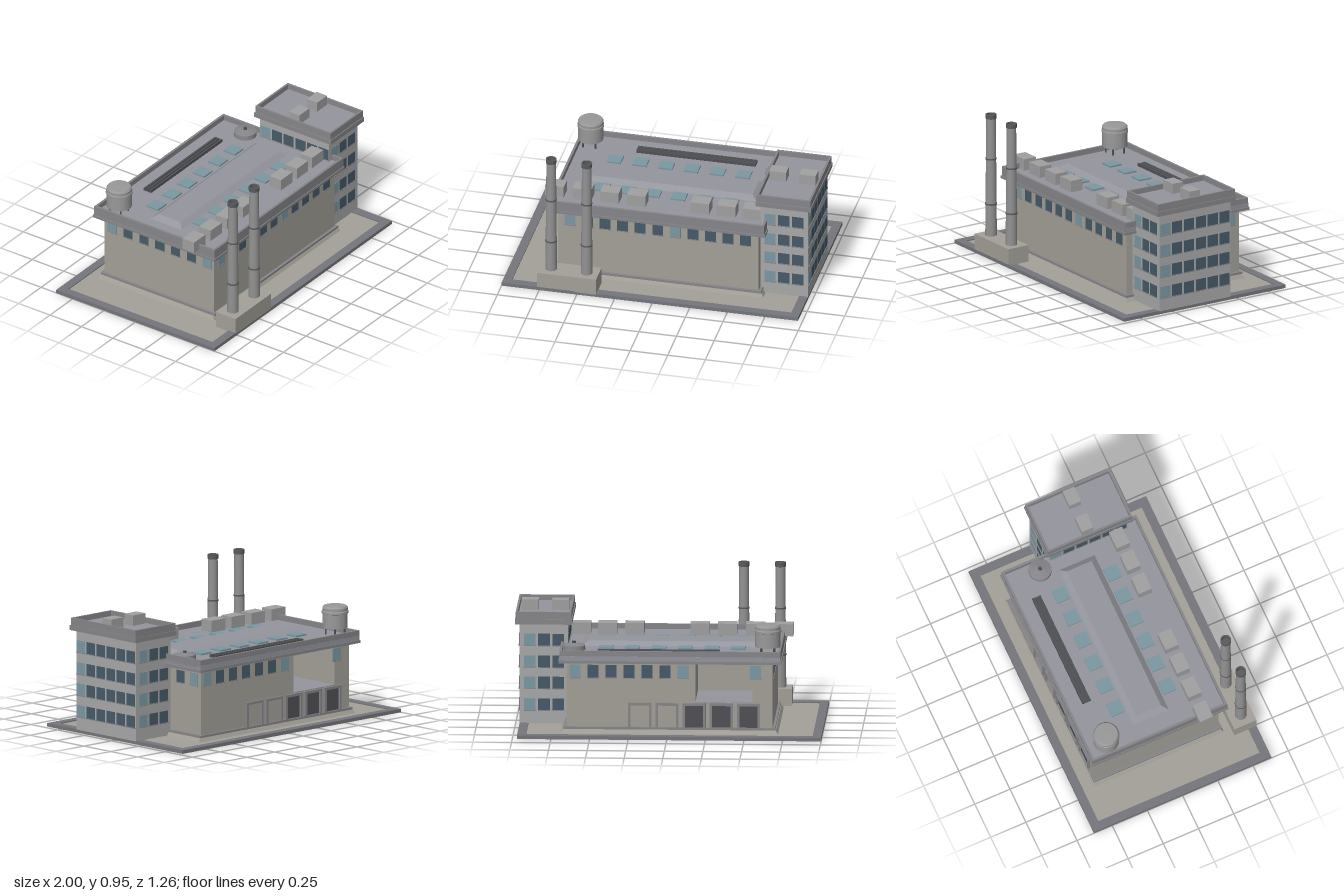
import * as THREE from 'three';

const mat = (color, extra = {}) => new THREE.MeshStandardMaterial({ color, ...extra });
const M = {
  wall: mat(0xa3a098), tower: mat(0xa8a8a8), roof: mat(0x94959d), trim: mat(0x86868a),
  curb: mat(0x75767c), dark: mat(0x505155), unit: mat(0xa0a0a0),
  glass: mat(0x465a68), glassLight: mat(0x7c98a3),
  stack: mat(0x929292, { side: THREE.DoubleSide }), cap: mat(0x5a5b5e, { side: THREE.DoubleSide }),
};

export function createModel() {
  const model = new THREE.Group();
  model.name = 'factory';

  const add = (name, geo, material, parent = model) => {
    const mesh = new THREE.Mesh(geo, material);
    mesh.name = name;
    parent.add(mesh);
    return mesh;
  };
  const group = (name, parent = model) => {
    const g = new THREE.Group();
    g.name = name;
    parent.add(g);
    return g;
  };
  // Box given by its limits; inset pulls the top edges inwards
  const block = (name, [x0, x1], [y0, y1], [z0, z1], material, parent, inset = 0) => {
    const geo = new THREE.BoxGeometry(x1 - x0, y1 - y0, z1 - z0);
    if (inset) {
      const p = geo.attributes.position;
      for (let i = 0; i < p.count; i++) {
        if (p.getY(i) < 0) continue;
        p.setX(i, p.getX(i) - Math.sign(p.getX(i)) * inset);
        p.setZ(i, p.getZ(i) - Math.sign(p.getZ(i)) * inset);
      }
      geo.computeVertexNormals();
    }
    geo.translate((x0 + x1) / 2, (y0 + y1) / 2, (z0 + z1) / 2);
    return add(name, geo, material, parent);
  };
  // Rectangular frame lying flat, t wide
  const ring = (name, [x0, x1], [y0, y1], [z0, z1], t, material, parent) => {
    const rect = (C, d) => new C([
      new THREE.Vector2(x0 + d, -z1 + d), new THREE.Vector2(x1 - d, -z1 + d),
      new THREE.Vector2(x1 - d, -z0 - d), new THREE.Vector2(x0 + d, -z0 - d)]);
    const shape = rect(THREE.Shape, 0);
    shape.holes.push(rect(THREE.Path, t));
    const geo = new THREE.ExtrudeGeometry(shape, { depth: y1 - y0, bevelEnabled: false });
    geo.rotateX(-Math.PI / 2).translate(0, y0, 0);
    return add(name, geo, material, parent);
  };
  const cyl = (name, rTop, rBottom, y0, y1, x, z, material, parent, open = false, sides = 24) => {
    const geo = new THREE.CylinderGeometry(rTop, rBottom, y1 - y0, sides, 1, open);
    geo.translate(x, (y0 + y1) / 2, z);
    return add(name, geo, material, parent);
  };
  // Wall plane whose local x runs to the right and local z points out of the wall
  const face = (name, x, z, turn) => {
    const g = group(name);
    g.position.set(x, 0, z);
    g.rotation.y = turn;
    return g;
  };
  const pane = (parent, x, y, w, h, light) => {
    block('window', [x - w / 2, x + w / 2], [y - h / 2, y + h / 2], [-0.004, 0.002],
      light ? M.glassLight : M.glass, parent);
    block('windowSill', [x - w / 2 - 0.003, x + w / 2 + 0.003], [y - h / 2 - 0.004, y - h / 2 + 0.001],
      [-0.004, 0.006], M.trim, parent);
  };

  // Ground slab and kerb
  block('groundSlab', [-0.98, 0.95], [0, 0.016], [-0.61, 0.61], M.wall);
  ring('kerb', [-1, 0.97], [0, 0.023], [-0.63, 0.63], 0.057, M.curb);

  // Main hall: solid below, with a deep loading opening high in the back
  const hall = group('mainHall');
  const X = [-0.68, 0.655], Z = [-0.476, 0.398], upper = [0.22, 0.5];
  block('lowerWalls', X, [0.02, 0.22], Z, M.wall, hall);
  block('upperFrontWalls', X, upper, [-0.08, Z[1]], M.wall, hall);
  block('upperBackLeftWall', [-0.18, X[1]], upper, [Z[0], -0.08], M.wall, hall);
  block('upperBackRightWall', [X[0], -0.55], upper, [Z[0], -0.08], M.wall, hall);
  block('openingFloor', [-0.55, -0.18], [0.215, 0.223], [Z[0] + 0.001, -0.08], M.roof, hall);
  block('plinthFlare', [-0.715, 0.69], [0.016, 0.042], [-0.5, 0.422], M.wall, hall, 0.014);
  block('plinthBand', [-0.697, 0.675], [0.042, 0.057], [-0.492, 0.416], M.trim, hall);
  block('hallRoof', [-0.73, 0.7], [0.485, 0.527], [-0.52, 0.435], M.roof, hall);
  ring('corniceBand', [-0.738, 0.706], [0.48, 0.498], [-0.525, 0.444], 0.04, M.trim, hall);
  ring('parapet', [-0.732, 0.7], [0.498, 0.562], [-0.519, 0.438], 0.016, M.trim, hall);

  // Hall windows
  const front = face('frontWindows', 0, Z[1], 0);
  const back = face('backWindows', 0, Z[0], Math.PI);
  for (let i = 0; i < 11; i++) {
    const x = -0.6 + i * 0.1168;
    pane(front, x, 0.421, 0.072, 0.085, i % 6 === 0);
    if (x < 0.17 || x > 0.56) pane(back, x, 0.421, 0.072, 0.085, i % 6 === 0 || i === 10);
  }
  const east = face('leftWindows', X[1], 0, Math.PI / 2);
  const west = face('rightWindows', X[0], 0, -Math.PI / 2);
  for (let i = 0; i < 7; i++) {
    const u = -0.412 + i * 0.126;
    pane(west, u, 0.418, 0.072, 0.08, i % 6 === 0);
    if (i > 4) pane(east, -0.412 + i * 0.126 + 0.068, 0.418, 0.072, 0.08, i === 6);
  }

  // Loading doors along the back
  const doors = face('loadingDoors', 0, Z[0], Math.PI);
  for (let i = 0; i < 5; i++) {
    const u = -0.18 + i * 0.176, w = 0.075;
    block('doorPanel', [u - w + 0.01, u + w - 0.01], [0.057, 0.2], [-0.004, 0.004],
      i < 2 ? M.wall : M.dark, doors);
    for (const s of [-1, 1]) {
      block('doorPost', [u + s * (w - 0.008) - 0.008, u + s * (w - 0.008) + 0.008], [0.05, 0.215],
        [-0.005, 0.016], M.trim, doors);
    }
    block('doorLintel', [u - w, u + w], [0.2, 0.217], [-0.005, 0.016], M.trim, doors);
  }

  // Office tower
  const tower = group('officeTower');
  block('towerWalls', [0.658, 0.972], [0.02, 0.7], [-0.197, 0.355], M.tower, tower);
  block('towerRoof', [0.64, 0.985], [0.68, 0.722], [-0.21, 0.375], M.roof, tower);
  ring('towerCornice', [0.63, 1], [0.676, 0.708], [-0.222, 0.388], 0.03, M.trim, tower);
  ring('towerParapet', [0.635, 0.995], [0.708, 0.757], [-0.217, 0.382], 0.014, M.trim, tower);
  for (const x of [0.715, 0.912]) {
    block('towerRoofUnit', [x - 0.055, x + 0.055], [0.72, 0.79], [0.035, 0.117], M.unit, tower);
  }
  const towerFront = face('towerFrontWindows', 0.812, 0.355, 0);
  const towerBack = face('towerBackWindows', 0.812, -0.197, Math.PI);
  const towerEast = face('towerLeftWindows', 0.972, 0.08, Math.PI / 2);
  const towerWest = face('towerRightWindows', 0.658, 0.08, -Math.PI / 2);
  [0.146, 0.289, 0.428, 0.572].forEach((y, row) => {
    for (let c = 0; c < 3; c++) {
      for (const f of [towerFront, towerBack]) pane(f, (c - 1) * 0.092, y, 0.075, 0.078, c === 0);
    }
    for (let c = 0; c < 6; c++) {
      const u = (c - 2.5) * 0.0926;
      pane(towerEast, u, y, 0.078, 0.078, c === 0);
      if (row === 3) pane(towerWest, u, y, 0.078, 0.078, c === 0);
    }
  });

  // Raised roof monitor with skylights on both sides
  block('roofMonitor', [-0.608, 0.578], [0.52, 0.556], [-0.178, 0.092], M.roof, model, 0.047);
  for (let i = 0; i < 6; i++) {
    const x = -0.447 + i * 0.171;
    for (const z of [-0.228, 0.139]) {
      block('skylight', [x - 0.047, x + 0.047], [0.52, 0.538], [z - 0.046, z + 0.046], M.glassLight);
    }
  }

  // Long roof louvre
  const louvre = group('roofLouvre');
  block('louvreBase', [-0.335, 0.457], [0.52, 0.533], [-0.412, -0.35], M.dark, louvre);
  for (const z of [-0.403, -0.381, -0.359]) {
    block('louvreSlat', [-0.335, 0.457], [0.53, 0.545], [z - 0.007, z + 0.007], M.dark, louvre);
  }

  // Row of roof units along the front
  for (const x of [-0.723, -0.54, -0.358, -0.18, 0.243, 0.418, 0.588]) {
    block('roofUnit', [x - 0.062, x + 0.062], [0.525, 0.604], [0.222, 0.314], M.unit);
  }

  // Round roof vent
  cyl('ventDrum', 0.072, 0.075, 0.52, 0.558, 0.615, -0.283, M.trim);
  cyl('ventCone', 0.02, 0.074, 0.558, 0.57, 0.615, -0.283, M.trim);
  cyl('ventKnob', 0.012, 0.012, 0.565, 0.582, 0.615, -0.283, M.dark);

  // Water tank on legs
  const tank = group('waterTank');
  tank.position.set(-0.645, 0, -0.383);
  const profile = [[0, 0.575], [0.082, 0.575], [0.082, 0.67], [0.087, 0.672], [0.087, 0.684],
    [0.083, 0.69], [0.083, 0.708], [0.074, 0.72], [0, 0.722]].map(p => new THREE.Vector2(...p));
  add('tankBody', new THREE.LatheGeometry(profile, 28), mat(0x999999, { flatShading: true }), tank);
  for (let i = 0; i < 4; i++) {
    const a = Math.PI / 4 + i * Math.PI / 2;
    cyl('tankLeg', 0.006, 0.006, 0.52, 0.58, 0.06 * Math.cos(a), 0.06 * Math.sin(a), M.dark, tank, false, 8);
  }

  // Chimneys on their shared base
  block('chimneyBase', [-0.765, -0.372], [0.016, 0.128], [0.473, 0.63], M.wall);
  for (const x of [-0.688, -0.452]) {
    const c = group('chimney');
    c.position.set(x, 0, 0.553);
    cyl('chimneyShaft', 0.031, 0.038, 0.12, 0.945, 0, 0, M.stack, c, true);
    for (const [y, r] of [[0.342, 0.039], [0.648, 0.036]]) cyl('chimneyBand', r, r, y - 0.005, y + 0.005, 0, 0, M.cap, c);
    const rim = [[0.026, 0.9], [0.026, 0.95], [0.035, 0.95], [0.035, 0.922], [0.03, 0.92]];
    add('chimneyCap', new THREE.LatheGeometry(rim.map(p => new THREE.Vector2(...p)), 24),
      mat(0x5a5b5e, { flatShading: true, side: THREE.DoubleSide }), c);
    cyl('chimneyPlug', 0.027, 0.027, 0.9, 0.905, 0, 0, M.cap, c);
  }
  return model;
}
